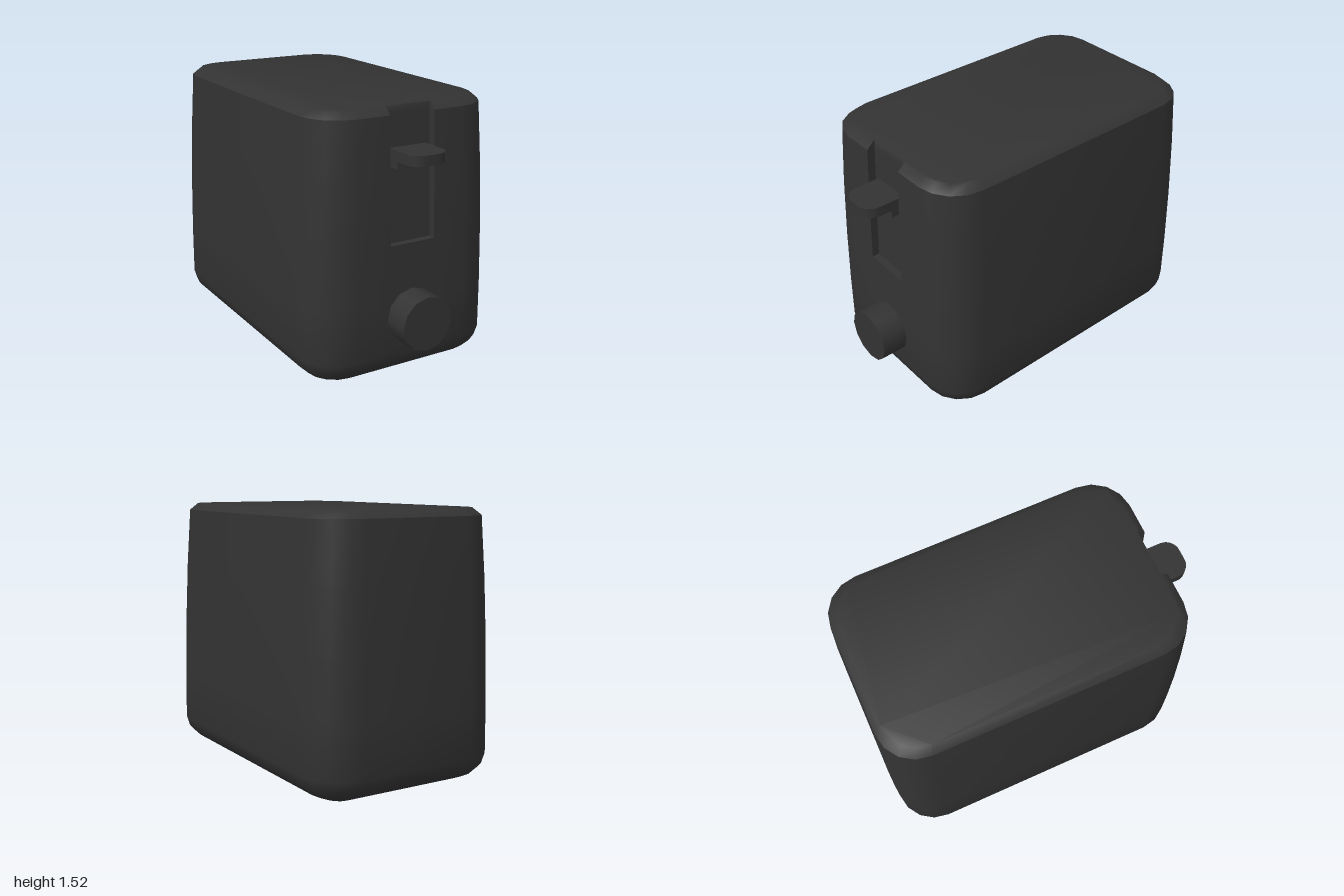
import * as THREE from 'three';
import { toCreasedNormals } from 'three/addons/utils/BufferGeometryUtils.js';

const SLOT_HALF = 0.138, SLOT_Y = 0.785;

// Rounded-rectangle cross-section at height y, with the lever slot notched into its front
function ring(y, inset, radius, slotted) {
  const hx = 0.585 - inset, front = 0.85 - inset, back = -1 + inset;
  const slotZ = slotted ? THREE.MathUtils.mapLinear(y, SLOT_Y, 1.52, 0.80, 0.762) : front;
  const pts = [[SLOT_HALF, front]];
  const corners = [[1, front - radius], [1, back + radius], [-1, back + radius], [-1, front - radius]];
  corners.forEach(([side, cz], c) => {
    for (let i = 0; i <= 4; i++) {
      const a = Math.PI / 2 * (1 - c - i / 4);
      pts.push([side * (hx - radius) + radius * Math.cos(a), cz + radius * Math.sin(a)]);
    }
  });
  pts.push([-SLOT_HALF, front], [-SLOT_HALF, slotZ], [SLOT_HALF, slotZ]);
  return pts.map(([x, z]) => new THREE.Vector3(x, y, z));
}

// Skin a stack of rings, optionally capping either end
function loft(rings, { bottom = false, top = false }, crease) {
  const pos = [], tri = new THREE.Triangle();
  const add = (a, b, c) => {
    tri.set(a, b, c);
    if (tri.getArea() > 1e-8) pos.push(...a.toArray(), ...b.toArray(), ...c.toArray());
  };
  for (let k = 0; k < rings.length - 1; k++) {
    const lo = rings[k], hi = rings[k + 1];
    lo.forEach((p, i) => {
      const j = (i + 1) % lo.length;
      add(p, lo[j], hi[j]);
      add(p, hi[j], hi[i]);
    });
  }
  const cap = (r, flip) => {
    const flat = r.map(p => new THREE.Vector2(p.x, -p.z));
    for (const [a, b, c] of THREE.ShapeUtils.triangulateShape(flat, [])) {
      if (flip) add(r[a], r[c], r[b]);
      else add(r[a], r[b], r[c]);
    }
  };
  if (bottom) cap(rings[0], true);
  if (top) cap(rings[rings.length - 1], false);
  const geo = new THREE.BufferGeometry();
  geo.setAttribute('position', new THREE.Float32BufferAttribute(pos, 3));
  return toCreasedNormals(geo, crease);
}

export function createModel() {
  const group = new THREE.Group();
  const dark = new THREE.MeshStandardMaterial({ color: 0x333333 });
  const part = (name, geo) => {
    const mesh = new THREE.Mesh(geo, dark);
    mesh.name = name;
    group.add(mesh);
    return mesh;
  };

  // Body: rounded underside, then gently tapering walls
  const rings = [];
  for (let i = 0; i <= 4; i++) {
    const a = Math.PI / 2 * (1 - i / 4);
    const inset = 0.245 * (1 - Math.cos(a));
    rings.push(ring(0.16 * (1 - Math.sin(a)), inset, Math.max(0.235 - inset, 0.01), false));
  }
  rings.push(
    ring(0.45, 0.002, 0.235, false),
    ring(SLOT_Y, 0.009, 0.233, false),
    ring(SLOT_Y, 0.009, 0.233, true),
    ring(1.15, 0.022, 0.23, true),
    ring(1.48, 0.04, 0.225, true),
  );
  part('body', loft(rings, { bottom: true }, 0.65));

  // Lid: bevelled edge shaded smoothly into the flat top
  part('top', loft([ring(1.48, 0.04, 0.225, true), ring(1.52, 0.083, 0.2, true)], { top: true }, 1.0));

  // Lever: round-cornered tab on a slider block running in the slot
  const tab = new THREE.Shape();
  tab.moveTo(-0.113, 0.765);
  tab.lineTo(0.113, 0.765);
  tab.absarc(0.033, 0.92, 0.08, 0, Math.PI / 2, false);
  tab.absarc(-0.033, 0.92, 0.08, Math.PI / 2, Math.PI, false);
  const tabGeo = new THREE.ExtrudeGeometry(tab, { depth: 0.057, bevelEnabled: false, curveSegments: 4 });
  tabGeo.rotateX(Math.PI / 2);
  part('leverTab', toCreasedNormals(tabGeo, 0.65)).position.y = 1.3;
  part('leverSlider', new THREE.BoxGeometry(0.226, 0.05, 0.08)).position.set(0, 1.225, 0.81);

  // Browning knob
  const knob = new THREE.CylinderGeometry(0.155, 0.155, 0.18, 12);
  knob.rotateX(Math.PI / 2);
  part('knob', knob).position.set(0, 0.372, 0.91);

  return group;
}
